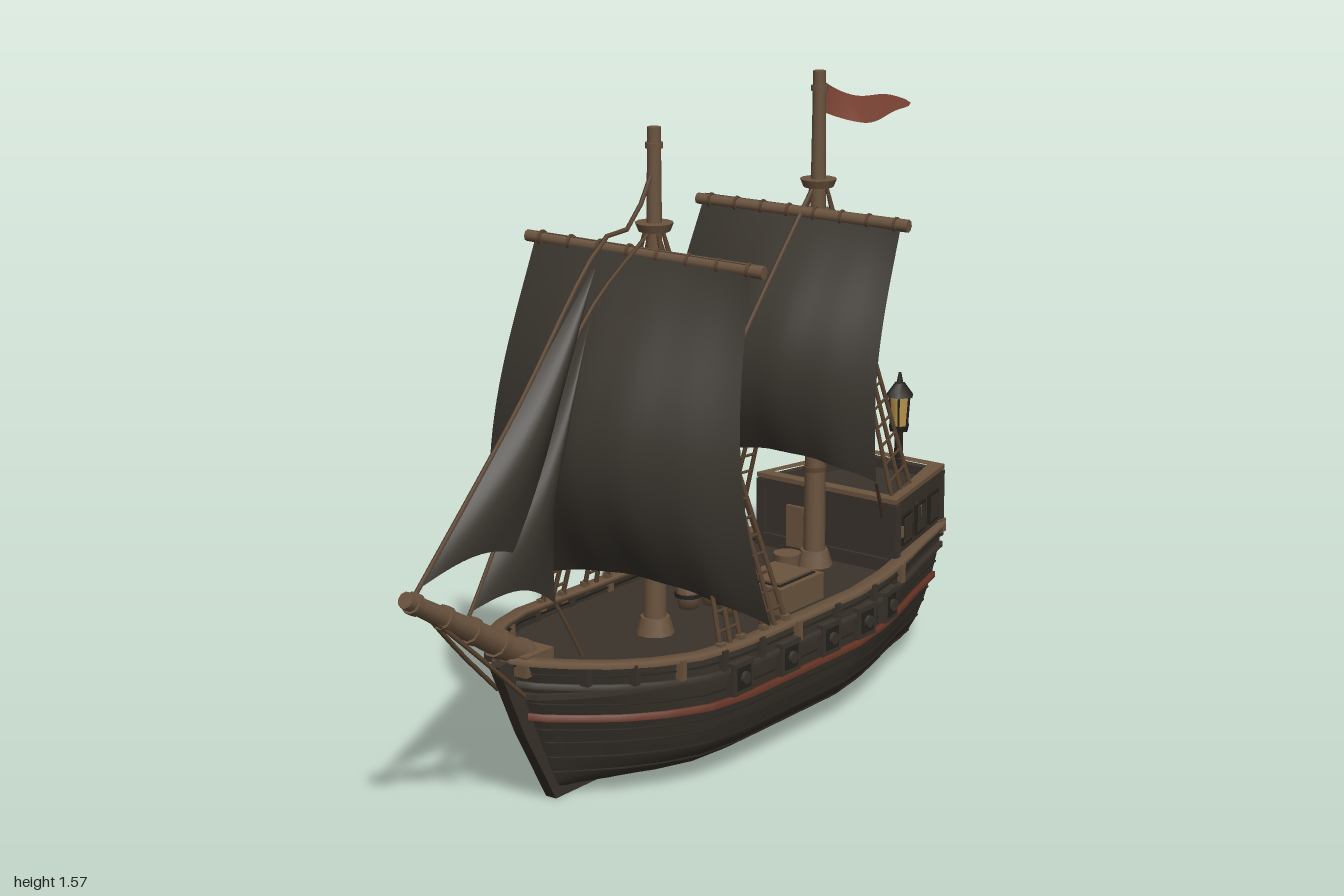
import * as THREE from 'three';

const mat = (name, color, side = THREE.FrontSide) => {
  const m = new THREE.MeshStandardMaterial({ color, side });
  m.name = name;
  return m;
};
const M = {
  hull: mat('dark hull planks', 0x39332b, THREE.DoubleSide),
  seam: mat('iron and seams', 0x25221d),
  deck: mat('deck planks', 0x39332b),
  wood: mat('brown timber', 0x6b543f),
  sail: mat('sail cloth', 0x3a352e, THREE.DoubleSide),
  rope: mat('rope', 0x5a4431),
  wale: mat('red stripe', 0x653425),
  flag: mat('red flag', 0x7a4334, THREE.DoubleSide),
  glass: mat('lantern glass', 0xc49d50),
};
const V = (x, y, z) => new THREE.Vector3(x, y, z);
const lerp = THREE.MathUtils.lerp;

// Piecewise linear lookup
function table(points, x) {
  for (let i = 1; i < points.length; i++) {
    const [x0, y0] = points[i - 1], [x1, y1] = points[i];
    if (x <= x1) return lerp(y0, y1, (x - x0) / (x1 - x0));
  }
  return points[points.length - 1][1];
}

// Surface from a function of two grid parameters
function grid(nu, nv, fn) {
  const pos = [], idx = [];
  for (let j = 0; j <= nv; j++) for (let i = 0; i <= nu; i++) pos.push(...fn(i / nu, j / nv).toArray());
  for (let j = 0; j < nv; j++) for (let i = 0; i < nu; i++) {
    const a = j * (nu + 1) + i, c = a + nu + 1;
    idx.push(a, a + 1, c + 1, a, c + 1, c);
  }
  const g = new THREE.BufferGeometry();
  g.setAttribute('position', new THREE.Float32BufferAttribute(pos, 3));
  g.setIndex(idx);
  g.computeVertexNormals();
  return g;
}

// Hull rule: t runs from the stern (-1) round the bow (0) to the stern (1), v from keel to rail
const PLAN = [[0, 0], [0.015, 0.06], [0.05, 0.12], [0.1, 0.185], [0.16, 0.235], [0.23, 0.272], [0.32, 0.284],
  [0.62, 0.282], [0.72, 0.258], [0.8, 0.225], [0.9, 0.175], [1, 0.13]];
const SECTION = [[0, 0], [0.03, 0.45], [0.08, 0.7], [0.15, 0.81], [0.25, 0.9], [0.4, 0.96], [0.6, 1.01], [0.8, 1.02], [1, 1]];
function hullPoint(t, v) {
  const a = Math.abs(t) ** 1.5;
  const x = lerp(-0.5 - 0.16 * v, 0.81 + 0.165 * v ** 0.7, a);
  const top = 0.335 + (x < 0 ? 0.05 * (-x / 0.65) ** 2 : 0);
  const plan = 0.285 * (table(PLAN, a) / 0.285) ** (1 + 0.45 * (1 - v) * (1 - a * a));
  return V(x, lerp(0.015, top, v), Math.sign(t) * plan * table(SECTION, v));
}
function hullOffset(t, v, out, up = 0) {
  const p = hullPoint(t, v);
  const d = hullPoint(Math.min(1, t + 0.02), v).sub(hullPoint(Math.max(-1, t - 0.02), v)).setY(0).normalize();
  return p.add(V(-d.z * out, up, d.x * out));
}

export function createModel() {
  const root = new THREE.Group();
  root.name = 'sailingShip';
  const add = (name, geo, material, parent = root) => {
    const m = new THREE.Mesh(geo, material);
    m.name = name;
    parent.add(m);
    return m;
  };
  const group = (name) => { const g = new THREE.Group(); g.name = name; root.add(g); return g; };
  const box = (name, w, h, d, x, y, z, material, parent, ry = 0) => {
    const m = add(name, new THREE.BoxGeometry(w, h, d), material, parent);
    m.position.set(x, y, z);
    m.rotation.y = ry;
  };
  const rod = (name, a, b, r0, r1, material, parent, sides = 5) => {
    const m = add(name, new THREE.CylinderGeometry(r1, r0, a.distanceTo(b), sides), material, parent);
    m.position.copy(a).lerp(b, 0.5);
    m.quaternion.setFromUnitVectors(V(0, 1, 0), b.clone().sub(a).normalize());
  };
  const rope = (name, pts, parent, r = 0.005) =>
    add(name, new THREE.TubeGeometry(new THREE.CatmullRomCurve3(pts), 16, r, 5), M.rope, parent);
  const shapeOf = (pts) => new THREE.Shape(pts.map(([x, y]) => new THREE.Vector2(x, y)));
  const slab = (name, pts, y0, y1, material, parent, hole) => {
    const s = shapeOf(pts);
    if (hole) s.holes.push(shapeOf(hole));
    const g = new THREE.ExtrudeGeometry(s, { depth: y1 - y0, bevelEnabled: false });
    return add(name, g.rotateX(Math.PI / 2).translate(0, y1, 0), material, parent);
  };

  // Hull shell, transom, keel and deck
  const hull = group('hull');
  add('hullShell', grid(96, 24, (u, v) => hullPoint(u * 2 - 1, v)), M.hull, hull);
  add('transom', grid(8, 24, (u, v) => { const p = hullPoint(1, v); p.z *= 1 - 2 * u; return p; }), M.hull, hull);
  const keel = shapeOf([[-0.5, 0], [-0.61, 0.19], [-0.7, 0.38], [-0.62, 0.39], [-0.5, 0.25], [0.9, 0.25],
    [0.985, 0.3], [0.975, 0.22], [0.93, 0.1], [0.83, 0]]);
  add('keelAndStem', new THREE.ExtrudeGeometry(keel, { depth: 0.03, bevelEnabled: false }).translate(0, 0, -0.015), M.hull, hull);
  const deckPts = [];
  for (let i = 0; i <= 60; i++) { const p = hullPoint(i / 30 - 1, 0.87); deckPts.push([p.x, p.z * 0.99]); }
  slab('deck', deckPts, 0.285, 0.298, M.deck, hull);

  // Bands that follow the hull: rail, stripe and plank seams
  const band = (name, v, h, outer, inner, material) => add(name, grid(96, 4, (u, k) => {
    const c = Math.round(k * 4) % 4, t = u * 2 - 1;
    return hullOffset(t, v, c < 2 ? outer : inner, c === 1 || c === 2 ? h / 2 : -h / 2);
  }), material, hull);
  band('gunwaleRail', 1, 0.013, 0.01, -0.024, M.wood);
  band('upperWale', 0.84, 0.014, 0.011, -0.005, M.hull);
  band('redStripe', 0.6, 0.016, 0.01, -0.005, M.wale);
  for (const v of [0.16, 0.28, 0.4, 0.5, 0.7, 0.92]) band('plankSeam', v, 0.004, 0.003, -0.004, M.seam);

  // Gun ports and rail posts on both sides
  for (const s of [-1, 1]) {
    for (const a of [0.3, 0.42, 0.53, 0.63, 0.72]) {
      const p = hullOffset(s * a ** (1 / 1.5), 0.77, 0.006);
      const ry = a > 0.7 ? s * 0.2 : 0;
      box('gunPortFrame', 0.076, 0.08, 0.024, p.x, p.y, p.z, M.hull, hull, ry);
      box('gunPortLid', 0.052, 0.056, 0.028, p.x, p.y, p.z, M.seam, hull, ry);
      rod('gunMuzzle', p, p.clone().add(V(0, 0, s * 0.022)), 0.018, 0.015, M.hull, hull, 10);
    }
    for (let i = 1; i < 10; i++) {
      const p = hullOffset(s * (0.08 + i * 0.085), 0.93, 0.004);
      box('railPost', 0.018, 0.05, 0.022, p.x, p.y, p.z, i % 3 ? M.hull : M.wood, hull);
    }
  }

  // Stern castle with rail, panels and transom windows
  const castle = group('sternCastle');
  const plan = (e) => [[0.625 - e, 0.21 + e], [0.97 + e, 0.125 + e], [0.97 + e, -0.125 - e], [0.625 - e, -0.21 - e]];
  slab('castleWalls', plan(0), 0.29, 0.455, M.hull, castle);
  slab('castleDeck', plan(-0.01), 0.455, 0.46, M.deck, castle);
  slab('castleBulwark', plan(0.004), 0.455, 0.484, M.hull, castle, plan(-0.02));
  slab('castleRail', plan(0.007), 0.484, 0.496, M.wood, castle, plan(-0.026));
  slab('castleSill', plan(0.009), 0.318, 0.336, M.hull, castle);
  const slant = Math.atan2(0.085, 0.345);
  for (const s of [-1, 1]) {
    for (const x of [0.7, 0.8, 0.9]) {
      const z = s * (0.21 - (x - 0.625) * 0.246);
      box('sidePanel', 0.07, 0.08, 0.016, x, 0.4, z, M.seam, castle, s * slant);
      box('sidePanelCore', 0.054, 0.064, 0.02, x, 0.4, z, M.hull, castle, s * slant);
    }
    box('cornerPost', 0.025, 0.18, 0.025, 0.965, 0.39, s * 0.12, M.hull, castle);
    box('cornerBracket', 0.03, 0.035, 0.03, 0.967, 0.33, s * 0.122, M.wood, castle);
    box('frontPost', 0.025, 0.18, 0.025, 0.63, 0.39, s * 0.205, M.hull, castle);
    box('sternWindow', 0.012, 0.09, 0.07, 0.971, 0.4, s * 0.055, M.seam, castle);
    box('sternWindowCore', 0.016, 0.07, 0.052, 0.971, 0.4, s * 0.055, M.hull, castle);
  }
  box('castleDoor', 0.012, 0.11, 0.08, 0.62, 0.37, -0.08, M.wood, castle);

  // Stern lantern
  const lantern = group('lantern');
  const lamp = (name, y0, y1, r0, r1, m) => rod(name, V(0.957, y0, 0), V(0.957, y1, 0), r0, r1, m, lantern, 6);
  lamp('lanternPost', 0.46, 0.575, 0.014, 0.012, M.seam);
  lamp('lanternBase', 0.57, 0.585, 0.026, 0.03, M.seam);
  lamp('lanternGlass', 0.585, 0.665, 0.023, 0.029, M.glass);
  lamp('lanternRoof', 0.665, 0.7, 0.04, 0.014, M.seam);
  lamp('lanternFinial', 0.7, 0.728, 0.01, 0.004, M.seam);
  for (let i = 0; i < 6; i++) {
    const c = Math.sin(i * Math.PI / 3), d = Math.cos(i * Math.PI / 3);
    rod('lanternBar', V(0.957 + 0.024 * c, 0.583, 0.024 * d), V(0.957 + 0.03 * c, 0.668, 0.03 * d), 0.003, 0.003, M.seam, lantern);
  }

  // Masts, yards and bowsprit
  const spars = group('spars');
  for (const [x, y0, y1] of [[-0.1, 0.29, 1.53], [0.57, 0.29, 1.575]]) {
    rod('mast', V(x, y0, 0), V(x, y1, 0), 0.029, 0.016, M.wood, spars, 12);
    rod('mastTop', V(x, 1.285, 0), V(x, 1.305, 0), 0.038, 0.046, M.wood, spars, 12);
    rod('mastCollar', V(x, 1.2, 0), V(x, 1.23, 0), 0.031, 0.031, M.wood, spars, 10);
    rod('mastFoot', V(x, 0.29, 0), V(x, 0.34, 0), 0.05, 0.036, M.wood, spars, 10);
    for (const y of [0.55, 0.8, 1.05]) rod('mastBand', V(x, y, 0), V(x, y + 0.012, 0), 0.03, 0.03, M.rope, spars, 10);
    rod('mastCap', V(x, y1 - 0.05, 0), V(x, y1 - 0.036, 0), 0.021, 0.021, M.wood, spars, 10);
  }
  const yards = [[V(-0.19, 1.25, -0.31), V(-0.12, 1.232, 0.33)], [V(0.47, 1.235, -0.3), V(0.54, 1.225, 0.29)]];
  for (const [a, b] of yards) {
    rod('yard', a, b, 0.014, 0.016, M.wood, spars, 8);
    for (let i = 0; i < 8; i++) {
      const k = 0.06 + i * 0.125;
      rod('yardLashing', a.clone().lerp(b, k), a.clone().lerp(b, k + 0.012), 0.019, 0.019, M.rope, spars, 8);
    }
  }
  const tip = V(-0.99, 0.615, 0), heel = V(-0.54, 0.345, 0);
  rod('bowsprit', heel, tip, 0.036, 0.02, M.wood, spars, 10);
  for (const k of [0.12, 0.3, 0.5, 0.7, 0.92])
    rod('bowspritBand', heel.clone().lerp(tip, k), heel.clone().lerp(tip, k + 0.04), 0.041 - k * 0.016, 0.041 - k * 0.016, M.wood, spars, 10);
  box('bowBlock', 0.1, 0.05, 0.1, -0.595, 0.37, 0, M.wood, spars);

  // Square sails, bellied towards the bow
  const sails = group('sails');
  const square = (name, [tl, tr, bl, br], arch, edge, belly, low) => add(name, grid(20, 24, (u, v) => {
    const p = tl.clone().lerp(tr, u).lerp(bl.clone().lerp(br, u), v);
    const mid = Math.sin(Math.PI * u);
    p.x -= (edge + belly * mid) * Math.sin(Math.PI * v ** 1.1) + low * mid * v + 0.004 * Math.cos(u * 30) * v;
    p.y += arch * mid * v * v;
    return p;
  }), M.sail, sails);
  square('mainSail', [V(-0.19, 1.263, -0.28), V(-0.13, 1.248, 0.3), V(-0.28, 0.41, -0.345), V(-0.14, 0.4, 0.37)], 0.08, 0.08, 0.08, 0.03);
  square('aftSail', [V(0.475, 1.25, -0.28), V(0.54, 1.24, 0.27), V(0.355, 0.55, -0.37), V(0.43, 0.6, 0.28)], 0.07, 0.045, 0.075, 0.015);

  // Triangular head sails with hollow edges
  const jib = (name, tack, head, clew, ctrl) => {
    const leech = new THREE.QuadraticBezierCurve3(clew, ctrl, head);
    add(name, grid(12, 20, (u, v) => {
      const p = tack.clone().lerp(head, v).lerp(leech.getPoint(v), u);
      p.y += 0.045 * Math.sin(Math.PI * u) * (1 - v);
      p.z += 0.045 * Math.sin(Math.PI * u) * Math.sin(Math.PI * (0.15 + 0.8 * v));
      return p;
    }), M.sail, sails);
  };
  jib('outerJib', V(-0.94, 0.63, 0), V(-0.33, 1.235, 0), V(-0.6, 0.62, 0.02), V(-0.52, 0.87, 0.02));
  jib('innerJib', V(-0.77, 0.53, 0), V(-0.35, 1.12, 0), V(-0.5, 0.48, 0.02), V(-0.535, 0.78, 0.02));

  // Pennant, leaning out at its lower edge
  add('pennant', grid(24, 4, (u, v) => V(0.58 + 0.4 * u,
    1.512 - 0.073 * Math.sin(u * 1.7) - 0.012 * Math.sin(u * 6.3) + (v - 0.5) * 0.08 * (1 - u) ** 0.5,
    Math.min(1, u * 4) * (0.016 + 0.014 * Math.sin(u * 5) + (0.5 - v) * 0.05 * (1 - u) ** 0.5))), M.flag, sails);

  // Rope ladders and stays
  const rigging = group('rigging');
  const ladder = (top, a, b, n) => {
    const mid = a.clone().lerp(b, 0.5);
    for (const p of [a, mid, b]) rod('shroud', p, top, 0.0065, 0.005, M.rope, rigging);
    for (let i = 0; i < n; i++) {
      const k = 0.04 + 0.85 * i / n;
      rod('ratline', a.clone().lerp(top, k), b.clone().lerp(top, k), 0.0042, 0.0042, M.rope, rigging, 4);
    }
    for (const p of [a, b]) box('deadeye', 0.02, 0.03, 0.016, p.x, p.y, p.z, M.wood, rigging);
  };
  for (const s of [-1, 1]) {
    ladder(V(-0.09, 1.28, s * 0.02), V(-0.03, 0.34, s * 0.272), V(0.06, 0.34, s * 0.272), 18);
    ladder(V(-0.11, 1.28, s * 0.02), V(-0.2, 0.34, s * 0.27), V(-0.12, 0.34, s * 0.27), 18);
    rope('bowspritGuy', [V(-0.93, 0.57, 0), V(-0.77, 0.42, s * 0.03), V(-0.64, 0.3, s * 0.04)], rigging, 0.006);
  }
  ladder(V(0.58, 1.28, 0.02), V(0.66, 0.4, 0.2), V(0.79, 0.42, 0.17), 16);
  ladder(V(0.57, 1.28, -0.02), V(0.5, 0.27, -0.305), V(0.62, 0.27, -0.29), 18);
  rope('outerStay', [V(-0.96, 0.615, 0), V(-0.62, 0.945, 0), V(-0.28, 1.3, 0), V(-0.19, 1.31, 0), V(-0.11, 1.42, 0)], rigging, 0.006);
  rope('innerStay', [V(-0.78, 0.52, 0), V(-0.36, 1.12, 0), V(-0.11, 1.29, 0)], rigging);
  rope('jibSheet', [V(-0.5, 0.48, 0.02), V(-0.47, 0.42, 0.03), V(-0.43, 0.34, 0.04)], rigging);
  rope('mainBackstay', [V(-0.08, 1.26, 0), V(0.09, 0.84, 0.03), V(0.26, 0.42, 0.06)], rigging, 0.006);
  rope('aftForestay', [V(0.56, 1.3, 0), V(0.29, 1.0, 0), V(0.02, 0.68, 0), V(-0.09, 0.55, 0)], rigging, 0.006);
  rope('aftSheet', [V(0.43, 0.6, 0.28), V(0.49, 0.54, 0.25), V(0.58, 0.46, 0.2)], rigging);

  // Deck cargo
  const cargo = group('deckCargo');
  box('hatch', 0.18, 0.07, 0.15, 0.27, 0.33, 0.1, M.wood, cargo);
  box('hatchSeam', 0.15, 0.004, 0.12, 0.27, 0.366, 0.1, M.seam, cargo);
  box('hatchCover', 0.136, 0.012, 0.106, 0.27, 0.367, 0.1, M.wood, cargo);
  box('crate', 0.1, 0.07, 0.1, 0.26, 0.33, -0.16, M.wood, cargo);
  box('crateLid', 0.08, 0.01, 0.08, 0.26, 0.364, -0.16, M.deck, cargo);
  for (const [x, z] of [[0.1, -0.05], [0.17, -0.1], [0.12, 0.06], [0.16, -0.02]]) {
    const prof = [[0, 0], [0.024, 0], [0.032, 0.035], [0.024, 0.07], [0, 0.07]].map(([a, b]) => new THREE.Vector2(a, b));
    add('barrel', new THREE.LatheGeometry(prof, 12), M.wood, cargo).position.set(x, 0.297, z);
    rod('barrelHoop', V(x, 0.327, z), V(x, 0.337, z), 0.034, 0.034, M.seam, cargo, 12);
  }
  rod('capstan', V(0.45, 0.297, 0), V(0.45, 0.36, 0), 0.03, 0.036, M.wood, cargo, 10);
  return root;
}
